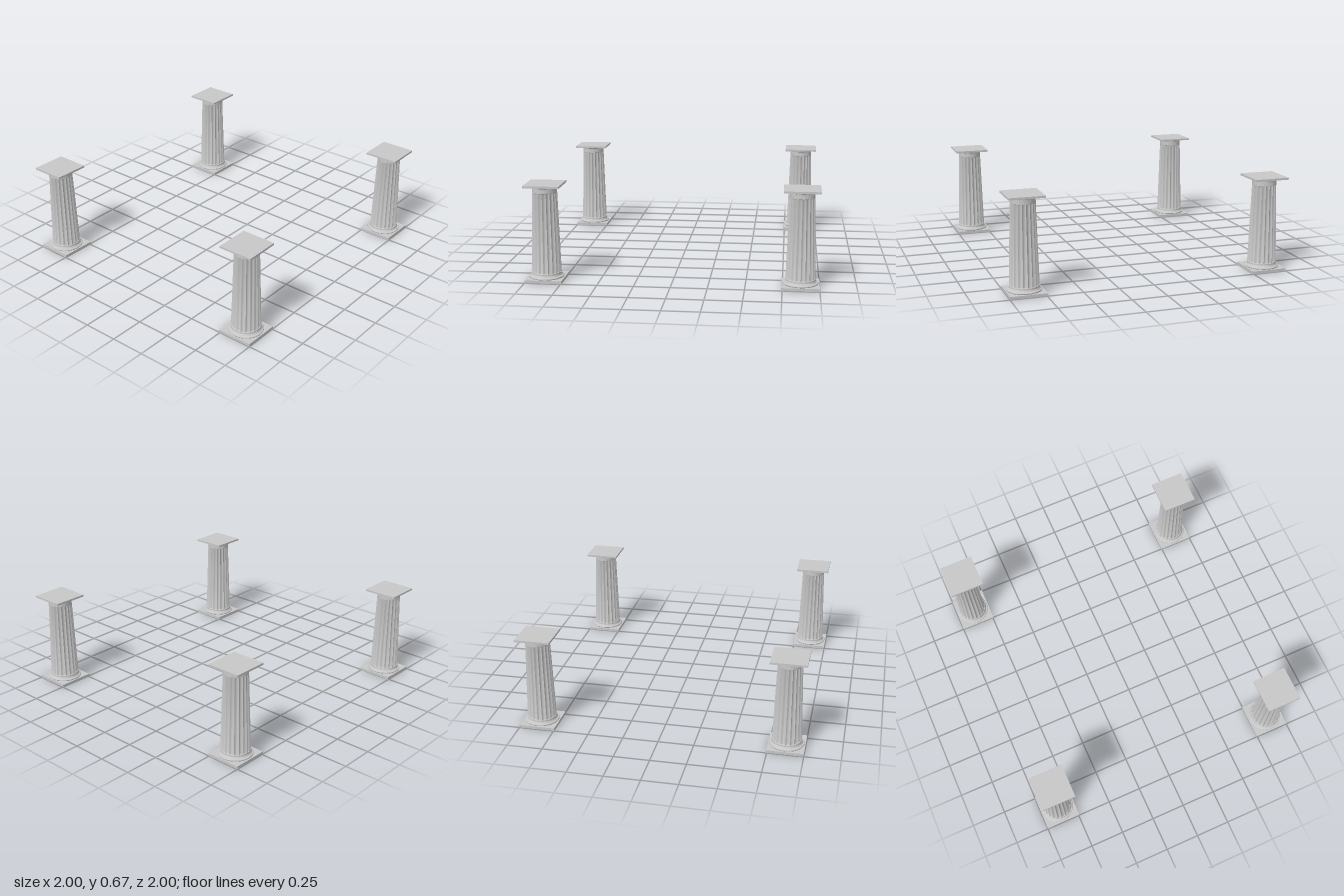
import * as THREE from 'three';
import { toCreasedNormals } from 'three/addons/utils/BufferGeometryUtils.js';
import { ParametricGeometry } from 'three/addons/geometries/ParametricGeometry.js';

const FLUTES = 20;
const STEPS = 8; // facets per flute

// Taper of the shaft from foot to neck
const shaftRadius = (y) => THREE.MathUtils.mapLinear(y, 0.05, 0.645, 0.102, 0.084);

// Shaft rows: [height, flute depth factor]; plain bands at both ends
const ROWS = [
  [0.045, 0], [0.056, 0], [0.058, 0.7], [0.064, 1], [0.33, 1],
  [0.606, 1], [0.612, 0.7], [0.614, 0], [0.632, 0],
];

function shaftGeometry() {
  const rows = ROWS.length - 1;
  const surface = (u, v, target) => {
    const [y, depth] = ROWS[Math.round(v * rows)];
    const s = (((u * FLUTES) % 1) * 2 - 1) / 0.85; // across one flute, with a narrow fillet
    const groove = 0.009 * depth * Math.sqrt(Math.max(0, 1 - s * s));
    const r = shaftRadius(y) - groove;
    const a = u * Math.PI * 2;
    target.set(r * Math.sin(a), y, r * Math.cos(a));
  };
  return toCreasedNormals(new ParametricGeometry(surface, FLUTES * STEPS, rows), 0.5);
}

function ringGeometry(profile) {
  const points = profile.map(([r, y]) => new THREE.Vector2(r, y));
  return toCreasedNormals(new THREE.LatheGeometry(points, 48), 0.5);
}

export function createModel() {
  const stone = new THREE.MeshStandardMaterial({ color: 0xc8c8c8 });
  stone.name = 'stone';

  const slab = (width, bottom, top) =>
    new THREE.BoxGeometry(width, top - bottom, width).translate(0, (bottom + top) / 2, 0);

  const parts = {
    plinth: slab(0.256, 0, 0.02),
    footMoulding: ringGeometry([
      [0.117, 0.019], [0.12, 0.023], [0.12, 0.028], [0.117, 0.032],
      [0.109, 0.034], [0.105, 0.039], [shaftRadius(0.046), 0.046],
    ]),
    flutedShaft: shaftGeometry(),
    neckMoulding: ringGeometry([
      [shaftRadius(0.631), 0.631], [0.084, 0.647], [0.089, 0.649], [0.09, 0.653],
      [0.097, 0.655], [0.101, 0.661],
    ]),
    abacus: slab(0.248, 0.66, 0.674),
  };

  // One column at each corner
  const model = new THREE.Group();
  model.name = 'columns';
  for (const z of [1, -1]) {
    for (const x of [1, -1]) {
      const column = new THREE.Group();
      column.name = (z > 0 ? 'front' : 'back') + (x > 0 ? 'Left' : 'Right') + 'Column';
      for (const [name, geometry] of Object.entries(parts)) {
        const mesh = new THREE.Mesh(geometry, stone);
        mesh.name = name;
        column.add(mesh);
      }
      column.position.set(x * 0.872, 0, z * 0.872);
      model.add(column);
    }
  }
  return model;
}
